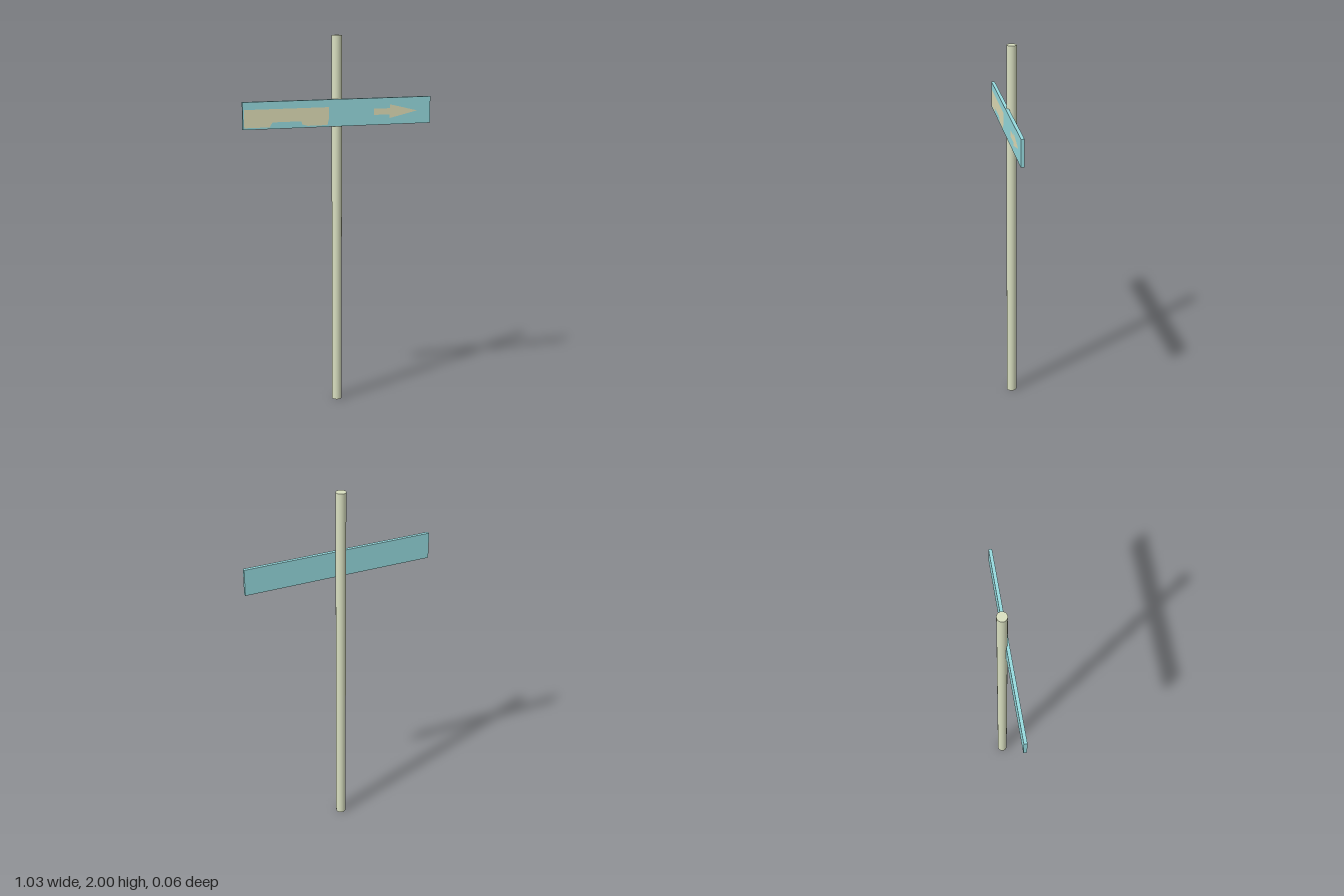
import * as THREE from 'three';

const paint = (color) => new THREE.MeshStandardMaterial({ color });

function addMesh(group, name, geometry, material, x, y, z) {
  const mesh = new THREE.Mesh(geometry, material);
  mesh.name = name;
  mesh.position.set(x, y, z);
  group.add(mesh);
  return mesh;
}

// Flat painted marking from an outline in board coordinates
function marking(points) {
  const shape = new THREE.Shape(points.map(([x, y]) => new THREE.Vector2(x, y)));
  return new THREE.ShapeGeometry(shape);
}

export function createModel() {
  const model = new THREE.Group();
  model.name = 'signpost';
  const cream = paint(0xd9dfc0);
  const blue = paint(0x96dade);
  const sand = paint(0xdedcb6);

  // Round pole
  addMesh(model, 'pole', new THREE.CylinderGeometry(0.027, 0.027, 2, 24), cream, 0, 1, -0.005);

  // Sign board fixed to the front of the pole
  const sign = new THREE.Group();
  sign.name = 'sign';
  sign.position.set(0, 1.597, 0.021);
  model.add(sign);
  addMesh(sign, 'board', new THREE.BoxGeometry(1.034, 0.143, 0.018), blue, 0, 0, 0);

  // Truck silhouette: trailer, undercarriage gap and cab
  const truck = marking([
    [-0.51, 0.032], [-0.055, 0.032], [-0.055, -0.03], [-0.062, -0.062],
    [-0.17, -0.062], [-0.2, -0.054], [-0.205, -0.037], [-0.36, -0.037],
    [-0.375, -0.062], [-0.51, -0.062],
  ].reverse());
  addMesh(sign, 'truckMarking', truck, sand, 0, 0, 0.0098);

  // Arrow pointing to the model's left
  const arrow = marking([
    [0.195, -0.018], [0.285, -0.018], [0.285, -0.038], [0.44, -0.002],
    [0.285, 0.036], [0.285, 0.015], [0.195, 0.015],
  ]);
  addMesh(sign, 'arrowMarking', arrow, sand, 0, 0, 0.0098);

  return model;
}
